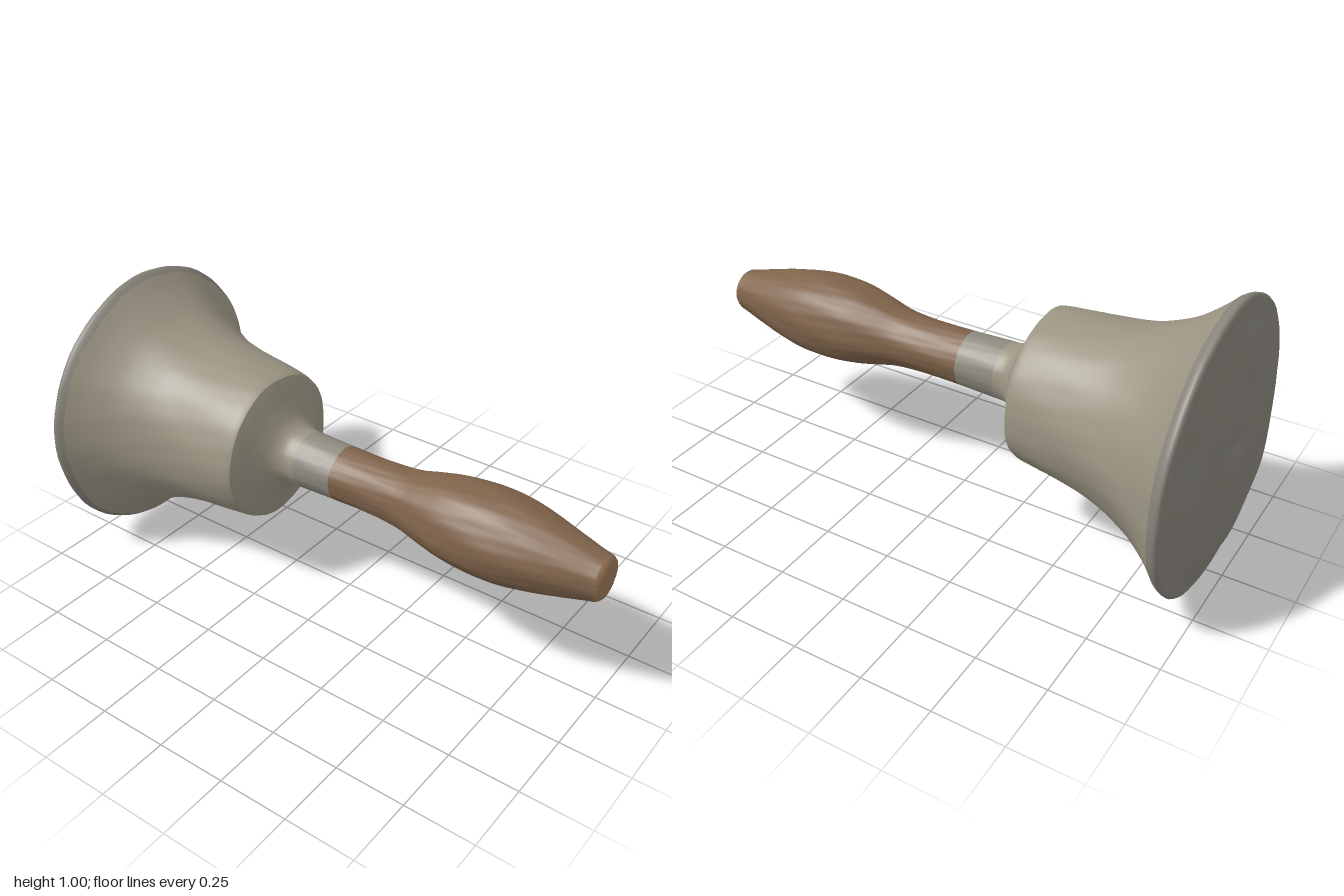
import * as THREE from 'three';
import { mergeVertices } from 'three/addons/utils/BufferGeometryUtils.js';

// The axis drifts slightly sideways from the mouth to the handle
const drift = (z) => THREE.MathUtils.smoothstep(z, -0.95, -0.15);

// Gentle hand-worn unevenness of the surface
const wobble = (a, z) =>
  0.45 * Math.sin(5 * a + 7 * z) + 0.35 * Math.sin(9 * a - 11 * z + 1) + 0.2 * Math.sin(23 * a + 17 * z);

// Turned part along z from [z, radius] points, listed from back to front
function turned(name, color, profile, rough, steps = 0, reshape = null) {
  let pts = profile.map(([z, r]) => new THREE.Vector2(r, z));
  if (steps) pts = new THREE.SplineCurve(pts).getPoints(steps);
  let geo = new THREE.LatheGeometry(pts, 72);
  geo.rotateX(Math.PI / 2);
  const p = geo.attributes.position;
  for (let i = 0; i < p.count; i++) {
    let x = p.getX(i), y = p.getY(i), z = p.getZ(i);
    // round the angle so both sides of the seam agree
    const a = Math.atan2(Math.abs(y) < 1e-6 ? 0 : y, Math.abs(x) < 1e-6 ? 0 : x);
    const k = 1 + rough * wobble(a, z);
    const d = drift(z);
    x = x * k - 0.03 * d;
    y = y * k + 0.5 + 0.012 * d;
    if (reshape) z = reshape(x, y, z);
    p.setXYZ(i, x, y, z);
  }
  geo.deleteAttribute('normal');
  geo.deleteAttribute('uv');
  geo = mergeVertices(geo, 1e-5);
  geo.computeVertexNormals();
  const mesh = new THREE.Mesh(geo, new THREE.MeshStandardMaterial({ color, side: THREE.DoubleSide }));
  mesh.name = name;
  return mesh;
}

export function createModel() {
  const model = new THREE.Group();
  model.name = 'handBell';
  const metal = 0x9b9483, dull = 0x87837a, wood = 0x80644b;

  // Closed mouth, bulging unevenly with a small dent in the middle
  const bulge = (x, y, z) => {
    const fromPeak = Math.hypot(x + 0.11, y - 0.4);
    const inside = 1 - THREE.MathUtils.smoothstep(Math.hypot(x, y - 0.5), 0.36, 0.495);
    const dent = 0.02 * Math.exp(-(((x + 0.01) ** 2 + (y - 0.52) ** 2) / 0.0012));
    const ripple = 0.004 * Math.sin(14 * x + 3) * Math.sin(17 * y);
    return z - inside * (0.053 * Math.max(0, 1 - (fromPeak / 0.6) ** 1.5) + ripple - dent);
  };
  const face = Array.from({ length: 21 }, (_, i) => [-0.947, 0.486 * i / 20]);
  model.add(turned('mouthFace', dull, face, 0.008, 0, bulge));

  // Rim and flaring bell wall
  model.add(turned('rim', dull, [[-0.947, 0.486], [-0.94, 0.497], [-0.925, 0.497], [-0.905, 0.483]], 0.008, 8));
  model.add(turned('bellWall', metal, [
    [-0.905, 0.483], [-0.85, 0.432], [-0.77, 0.375], [-0.68, 0.333], [-0.6, 0.309],
    [-0.5, 0.293], [-0.4, 0.282], [-0.32, 0.272], [-0.295, 0.265],
  ], 0.012, 40));

  // Sloping crown running into the neck
  model.add(turned('crown', metal, [
    [-0.295, 0.265], [-0.28, 0.235], [-0.255, 0.18], [-0.225, 0.13], [-0.19, 0.106], [-0.15, 0.102],
  ], 0.012, 20));
  model.add(turned('neck', 0x8f8a80, [[-0.15, 0.102], [-0.08, 0.1], [0, 0.098]], 0.02, 10));

  // Wooden grip with a swollen middle and a flat end
  model.add(turned('handle', wood, [
    [0, 0.098], [0.1, 0.096], [0.2, 0.098], [0.28, 0.105], [0.36, 0.124], [0.45, 0.144], [0.55, 0.153],
    [0.65, 0.151], [0.76, 0.133], [0.87, 0.106], [0.95, 0.085], [0.985, 0.077],
  ], 0.025, 48));
  model.add(turned('handleEnd', 0x9a7657, [[0.985, 0.077], [0.996, 0.068], [1, 0.05], [1, 0]], 0.02));

  return model;
}
